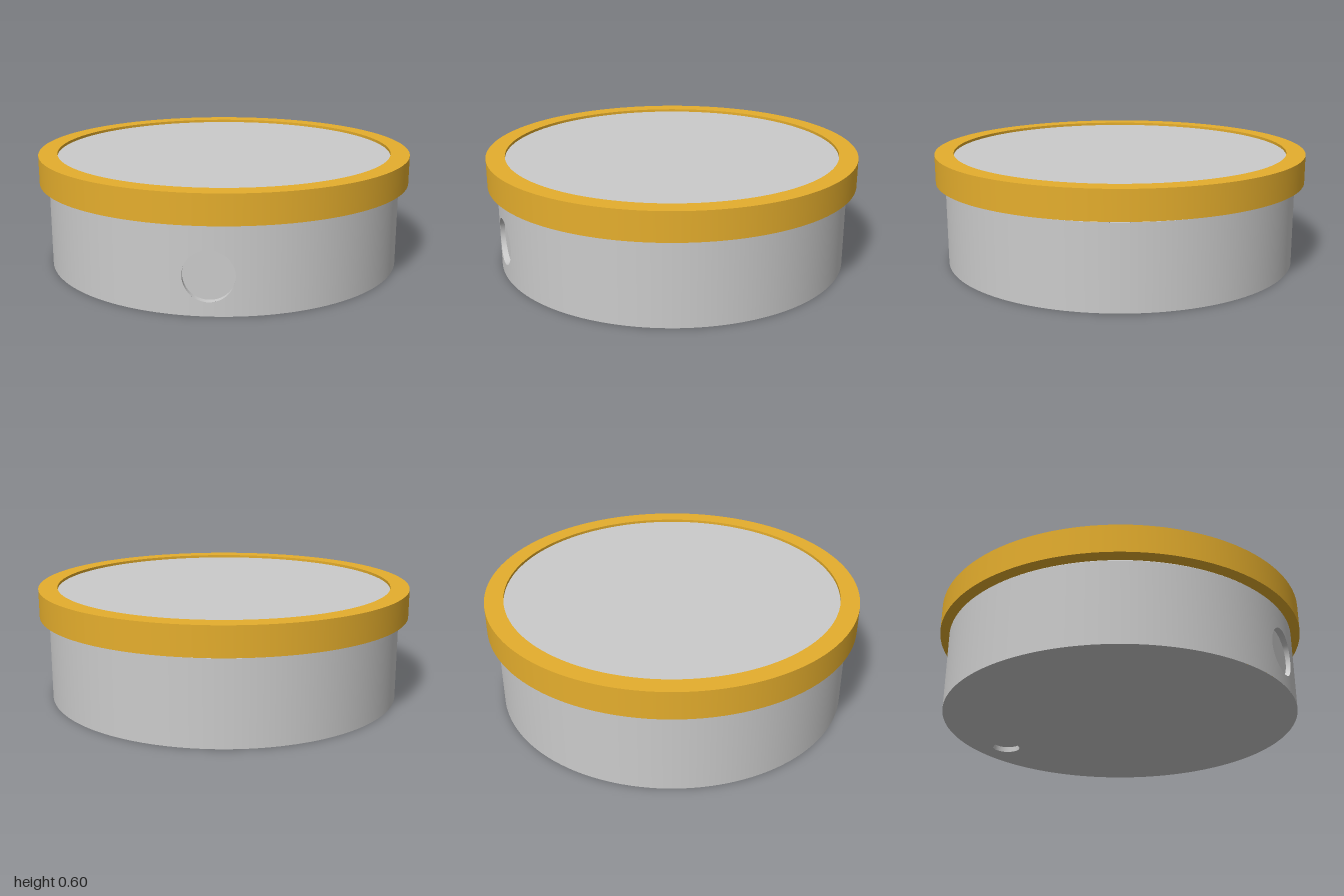
import * as THREE from 'three';
import { mergeGeometries } from 'three/addons/utils/BufferGeometryUtils.js';
import { ParametricGeometry } from 'three/addons/geometries/ParametricGeometry.js';

const R = 0.95;                                   // body radius
const WALL_TOP = 0.435;                           // where the wall meets its small bevel
const HOLE = { y: 0.195, r: 0.125, floorZ: 0.917 };   // round recess in the front wall
const POCKET = { z: -0.77, r: 0.075, depth: 0.03 };   // small round pocket underneath
const PATCH = 0.2;                                // half width of the wall patch around the recess

// Turned surface with a crisp edge at every profile point
function turned(profile, segments = 128, start = 0, length = Math.PI * 2) {
  const bands = [];
  for (let i = 0; i < profile.length - 1; i++) {
    const pair = [profile[i], profile[i + 1]].map(([r, y]) => new THREE.Vector2(r, y));
    bands.push(new THREE.LatheGeometry(pair, segments, start, length));
  }
  return mergeGeometries(bands);
}

const onWall = (x, y, target) => target.set(x, y, Math.sqrt(R * R - x * x));

// Counter-clockwise walk around the rectangular border of the wall patch
const border = [[PATCH, 0], [PATCH, WALL_TOP], [-PATCH, WALL_TOP], [-PATCH, 0]];
function borderPoint(u) {
  const t = (u % 1) * 4;
  const i = Math.floor(t) % 4;
  const f = t - Math.floor(t);
  const a = border[i], b = border[(i + 1) % 4];
  return [a[0] + (b[0] - a[0]) * f, a[1] + (b[1] - a[1]) * f];
}

export function createModel() {
  const model = new THREE.Group();
  const grey = new THREE.MeshStandardMaterial({ color: 0xcccccc });
  const gold = new THREE.MeshStandardMaterial({ color: 0xe5ae2d });
  const add = (name, geometry, material = grey) => {
    const mesh = new THREE.Mesh(geometry, material);
    mesh.name = name;
    model.add(mesh);
    return mesh;
  };

  // Round side wall, left open where the front patch sits
  const gap = Math.asin(PATCH / R);
  add('bodyWall', turned([[R, 0], [R, WALL_TOP]], 128, gap, Math.PI * 2 - 2 * gap));

  // Curved front patch running from the rectangular border to the recess edge
  add('frontWallPatch', new ParametricGeometry((u, v, target) => {
    const [bx, by] = borderPoint(u);
    const a = Math.atan2(by - HOLE.y, bx);
    const cx = HOLE.r * Math.cos(a), cy = HOLE.y + HOLE.r * Math.sin(a);
    onWall(bx + (cx - bx) * v, by + (cy - by) * v, target);
  }, 64, 8));

  // Recess side and flat floor
  add('frontRecessWall', new ParametricGeometry((u, v, target) => {
    const a = u * Math.PI * 2;
    onWall(HOLE.r * Math.cos(a), HOLE.y + HOLE.r * Math.sin(a), target);
    target.z += (HOLE.floorZ - target.z) * v;
  }, 64, 1));
  add('frontRecessFloor', new THREE.CircleGeometry(HOLE.r, 64)).position.set(0, HOLE.y, HOLE.floorZ);

  // Bevel, shoulder, neck and the top plate inside the rim
  add('neckAndTopPlate', turned([
    [R, WALL_TOP], [R - 0.005, 0.44], [0.9, 0.44], [0.9, 0.585], [0, 0.585],
  ]));

  // Underside with a round pocket near the back
  const disc = new THREE.Shape().absarc(0, 0, R, 0, Math.PI * 2);
  disc.holes.push(new THREE.Path().absarc(0, POCKET.z, POCKET.r, 0, Math.PI * 2, true));
  add('underside', new THREE.ShapeGeometry(disc, 64).rotateX(Math.PI / 2));
  add('undersidePocket', turned([
    [0, POCKET.depth], [POCKET.r, POCKET.depth], [POCKET.r, 0],
  ], 48)).position.z = POCKET.z;

  // Overhanging coloured ring
  add('rim', turned([[0.9, 0.45], [1, 0.45], [1, 0.6], [0.9, 0.6], [0.9, 0.45]]), gold);

  return model;
}
